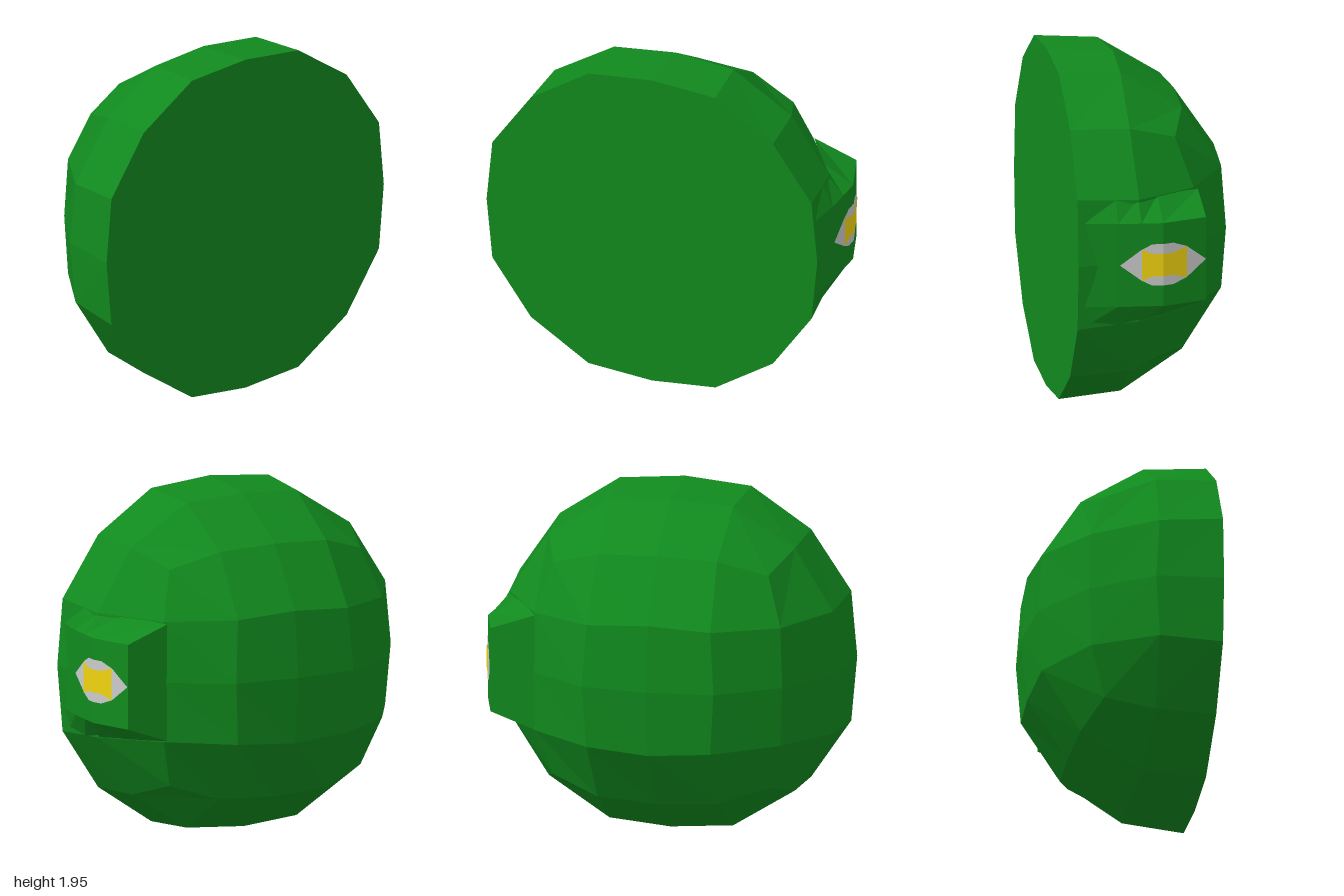
import * as THREE from 'three';

const CX = -0.0235, CY = 0.98, CZ = 0.49;
const green = new THREE.MeshStandardMaterial({ color: 0x118a1e, flatShading: true });
const white = new THREE.MeshStandardMaterial({ color: 0xcccccc, flatShading: true, side: THREE.DoubleSide });
const yellow = new THREE.MeshStandardMaterial({ color: 0xf2d510, flatShading: true, side: THREE.DoubleSide });

// Flat-shaded mesh from quads; each quad is turned to face away from the given centre.
function quadMesh(name, quads, material, centre) {
  const pos = [];
  for (const quad of quads) {
    const [a, b, c, d] = quad.map((p) => new THREE.Vector3(...p));
    const n = c.clone().sub(a).cross(d.clone().sub(b));
    const mid = a.clone().add(b).add(c).add(d).multiplyScalar(0.25);
    const out = n.dot(mid.sub(new THREE.Vector3(...centre))) >= 0;
    for (const p of out ? [a, b, c, a, c, d] : [a, c, b, a, d, c]) pos.push(p.x, p.y, p.z);
  }
  const geo = new THREE.BufferGeometry();
  geo.setAttribute('position', new THREE.Float32BufferAttribute(pos, 3));
  geo.computeVertexNormals();
  const mesh = new THREE.Mesh(geo, material);
  mesh.name = name;
  return mesh;
}

// Rounded-cube grid point: [larger offset, smaller offset, height] for grid steps 0..2
const GRID = {
  '00': [0, 0, 0.977], '10': [0.375, 0, 0.943], '11': [0.352, 0.352, 0.92],
  '20': [0.715, 0, 0.715], '21': [0.7, 0.34, 0.7], '22': [0.612, 0.612, 0.612],
};
function gridPoint(i, j) {
  const a = Math.abs(i), b = Math.abs(j);
  const [big, small, h] = GRID[`${Math.max(a, b)}${Math.min(a, b)}`];
  return [Math.sign(i) * (a >= b ? big : small), Math.sign(j) * (a >= b ? small : big), h];
}

// Half of a rounded cube: full back face and half of each side face
function dome() {
  const faces = [
    { jMax: 2, place: (u, v, h) => [u, v, -h] },
    { jMax: 0, place: (u, v, h) => [h, u, v] },
    { jMax: 0, place: (u, v, h) => [-h, u, v] },
    { jMax: 0, place: (u, v, h) => [u, h, v] },
    { jMax: 0, place: (u, v, h) => [u, -h, v] },
  ];
  const quads = [];
  for (const { jMax, place } of faces) {
    const at = (i, j) => {
      const [x, y, z] = place(...gridPoint(i, j));
      return [x + CX, y + CY, z + CZ];
    };
    for (let i = -2; i < 2; i++)
      for (let j = -2; j < jMax; j++)
        quads.push([at(i, j), at(i + 1, j), at(i + 1, j + 1), at(i, j + 1)]);
  }
  return quadMesh('dome', quads, green, [CX, CY, CZ]);
}

// Flat front closing the dome
function flatFace() {
  const quarter = [[0.977, 0], [0.943, 0.375], [0.715, 0.715], [0.375, 0.943]];
  const outline = [];
  for (let k = 0; k < 4; k++)
    for (const [x, y] of quarter)
      outline.push(new THREE.Vector2(x, y).rotateAround(new THREE.Vector2(), k * Math.PI / 2));
  const mesh = new THREE.Mesh(new THREE.ShapeGeometry(new THREE.Shape(outline)), green);
  mesh.position.set(CX, CY, CZ);
  mesh.name = 'flatFace';
  return mesh;
}

// Raised brow on the left side: sections along z as [z, top x, base x, base half height]
const BROW = [
  [0.47, 0.925, 0.895, 0.38], [0.27, 0.965, 0.9, 0.37], [0.14, 0.98, 0.88, 0.36],
  [0.02, 0.992, 0.81, 0.35], [-0.235, 0.92, 0.67, 0.33],
];
function brow() {
  const rings = BROW.map(([z, top, base, half]) => [
    [base, CY - half, z], [top, CY - 0.24, z], [top, CY + 0.24, z], [base, CY + half, z],
  ]);
  const quads = [rings[rings.length - 1]];
  for (let s = 0; s < rings.length - 1; s++)
    for (let k = 0; k < 3; k++)
      quads.push([rings[s][k], rings[s][k + 1], rings[s + 1][k + 1], rings[s + 1][k]]);
  return quadMesh('brow', quads, green, [0.6, CY, 0.1]);
}

// Outer x of the brow at a given z
function browX(z) {
  const s = Math.max(1, BROW.findIndex((r) => r[0] <= z));
  const [z0, x0] = BROW[s - 1], [z1, x1] = BROW[s];
  return x0 + (x1 - x0) * (z - z0) / (z1 - z0);
}

// Thin patch lying on the brow, from [z, half height] columns
function patch(name, columns, lift, material) {
  const quads = [];
  for (let k = 0; k < columns.length - 1; k++) {
    const [[za, ha], [zb, hb]] = [columns[k], columns[k + 1]];
    const xa = browX(za) + lift, xb = browX(zb) + lift;
    quads.push([[xa, CY - ha, za], [xb, CY - hb, zb], [xb, CY + hb, zb], [xa, CY + ha, za]]);
  }
  return quadMesh(name, quads, material, [0, CY, 0]);
}

export function createModel() {
  const model = new THREE.Group();
  model.name = 'domedHead';
  const eye = new THREE.Group();
  eye.name = 'eye';
  eye.add(
    patch('eyeWhite', [[0.26, 0], [0.14, 0.09], [0.08, 0.12], [0.02, 0.12], [-0.04, 0.12], [-0.12, 0.09], [-0.234, 0]], 0.004, white),
    patch('iris', [[0.14, 0.09], [0.08, 0.065], [0.02, 0.065], [-0.04, 0.065], [-0.12, 0.09]], 0.008, yellow),
  );
  model.add(dome(), flatFace(), brow(), eye);
  return model;
}
